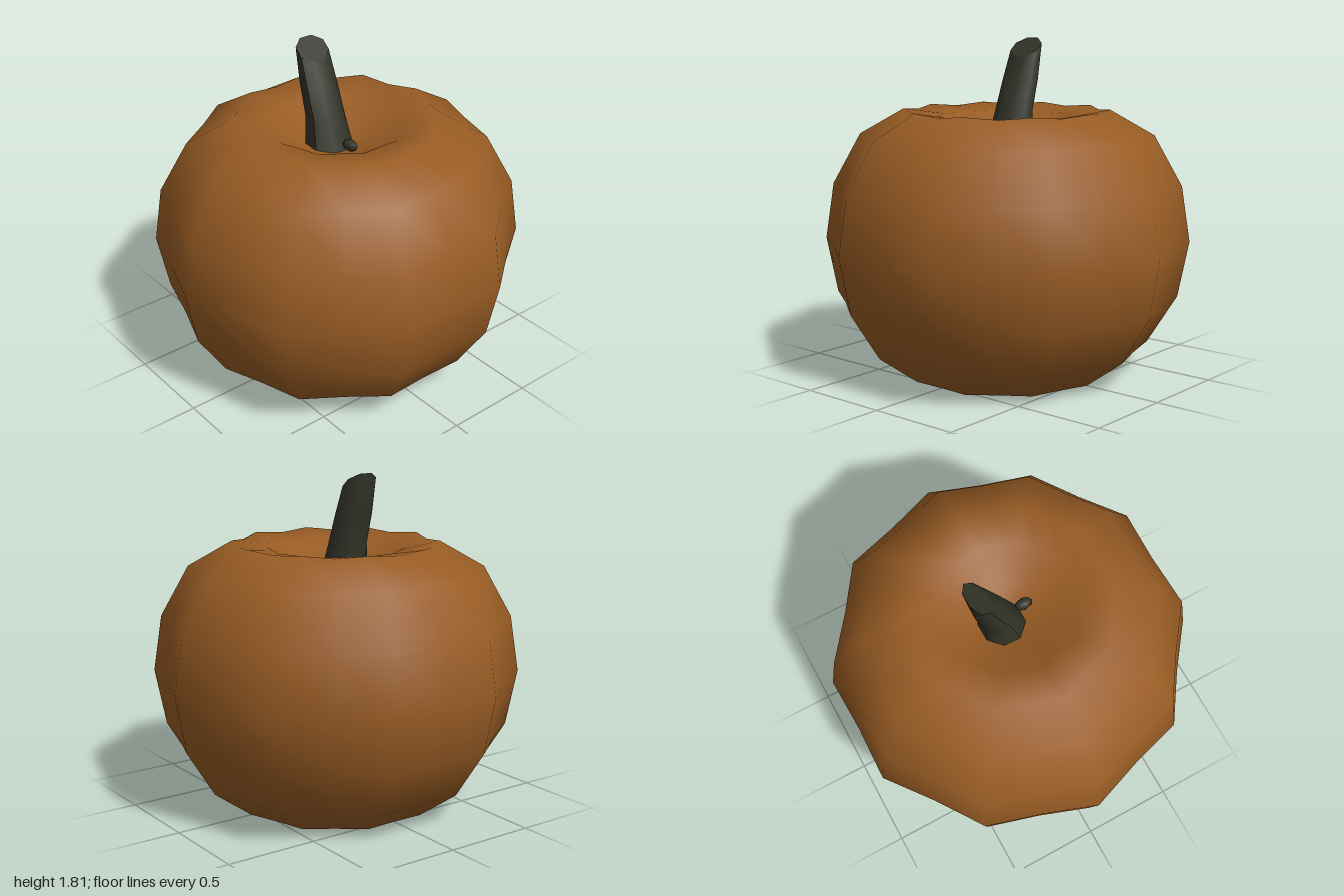
import * as THREE from 'three';

const pumpkinOrange = new THREE.MeshStandardMaterial({ name: 'pumpkinOrange', color: 0x985c24 });
const stemGreen = new THREE.MeshStandardMaterial({ name: 'stemGreen', color: 0x323328 });

// Ten-lobed body: a lathe whose in-between columns are drawn in as shallow grooves
function makeBody() {
  const profile = [
    [0, 0.12], [0.2, 0.08], [0.38, 0.015], [0.56, 0.01], [0.78, 0.17], [0.94, 0.425], [1, 0.73],
    [0.953, 1.035], [0.8, 1.31], [0.56, 1.447], [0.37, 1.41], [0.2, 1.3], [0, 1.26],
  ].map(([r, y]) => new THREE.Vector2(r, y));
  const geometry = new THREE.LatheGeometry(profile, 20);
  const pos = geometry.attributes.position;
  for (let i = 0; i < pos.count; i++) {
    const column = Math.floor(i / profile.length);
    const row = i % profile.length;
    if (column % 2 === 0 || row < 3 || row > 10) continue;
    const y = pos.getY(i) - (row === 9 ? 0.014 : 0);
    pos.setXYZ(i, pos.getX(i) * 0.942, y, pos.getZ(i) * 0.942);
  }
  const body = new THREE.Mesh(geometry, pumpkinOrange);
  body.name = 'pumpkinBody';
  return body;
}

// Leaning eight-sided stem with a slanted cut at the top
function makeStem() {
  // centre x, y, radius x, radius z, slant
  const sections = [
    [-0.05, 1.25, 0.13, 0.135, 0],
    [-0.085, 1.44, 0.092, 0.11, 0],
    [-0.137, 1.6, 0.087, 0.106, 0.2],
    [-0.188, 1.777, 0.062, 0.098, 0.83],
  ];
  const geometry = new THREE.CylinderGeometry(1, 1, 3, 8, 3, false, Math.PI / 8);
  const pos = geometry.attributes.position;
  for (let i = 0; i < pos.count; i++) {
    const [cx, cy, rx, rz, slant] = sections[Math.round(pos.getY(i) + 1.5)];
    const dx = pos.getX(i) * rx;
    pos.setXYZ(i, cx + dx, cy - dx * slant, 0.015 + pos.getZ(i) * rz);
  }
  geometry.computeVertexNormals();
  const stem = new THREE.Mesh(geometry, stemGreen);
  stem.name = 'stem';
  return stem;
}

// Small knob beside the foot of the stem
function makeKnob() {
  const knob = new THREE.Mesh(new THREE.SphereGeometry(0.035, 8, 6), stemGreen);
  knob.name = 'stemKnob';
  knob.scale.set(1.4, 0.9, 0.9);
  knob.position.set(0.09, 1.31, -0.015);
  return knob;
}

export function createModel() {
  const model = new THREE.Group();
  model.name = 'pumpkin';
  model.add(makeBody(), makeStem(), makeKnob());
  return model;
}
